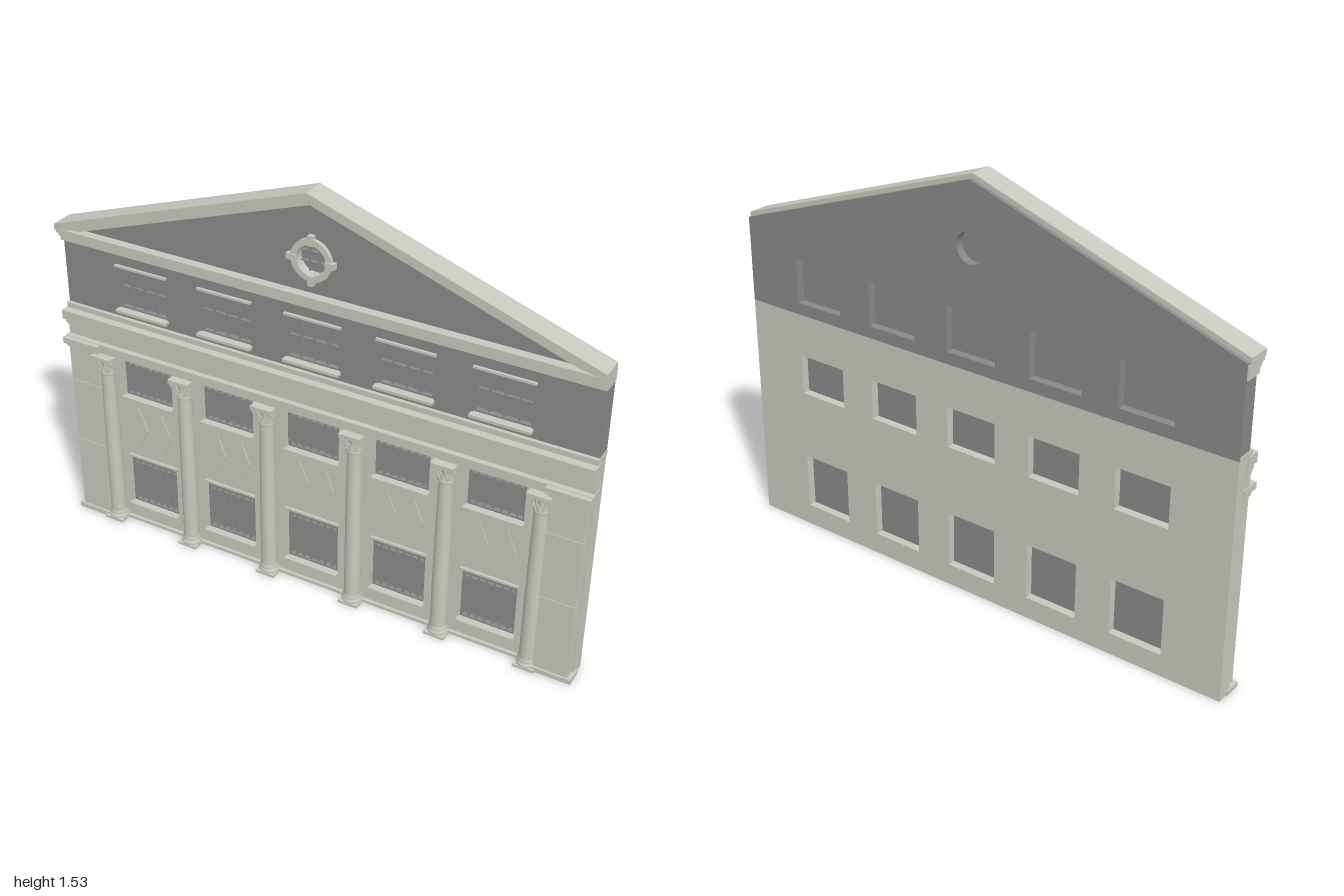
import * as THREE from 'three';

const stone = new THREE.MeshStandardMaterial({ color: 0xc9c8be });
stone.name = 'pale stone';
const grey = new THREE.MeshStandardMaterial({ color: 0x8b888a });
grey.name = 'grey render and glass';

const bayX = [-0.673, -0.337, 0, 0.337, 0.673];
const columnX = [-0.835, -0.505, -0.17, 0.17, 0.505, 0.835];
const rows = [
  { name: 'groundWindow', y0: 0.08, y1: 0.29, v: 6, h: [0.8], trim: stone },
  { name: 'middleWindow', y0: 0.55, y1: 0.70, v: 6, h: [0.8], trim: stone },
  { name: 'atticWindow', y0: 0.905, y1: 1.07, v: 3, h: [0.5], trim: stone },
];
const half = 0.1; // half width of a window opening

export function createModel() {
  const model = new THREE.Group();
  model.name = 'classicalFacade';

  const add = (name, geometry, material, parent = model) => {
    const mesh = new THREE.Mesh(geometry, material);
    mesh.name = name;
    parent.add(mesh);
    return mesh;
  };
  // Box given by its limits on each axis
  const box = (name, x0, x1, y0, y1, z0, z1, material = stone, parent = model) => {
    const m = add(name, new THREE.BoxGeometry(x1 - x0, y1 - y0, z1 - z0), material, parent);
    m.position.set((x0 + x1) / 2, (y0 + y1) / 2, (z0 + z1) / 2);
    return m;
  };
  const outline = (pts) => new THREE.Shape(pts.map(([x, y]) => new THREE.Vector2(x, y)));
  const extrude = (shape, z0, z1) => new THREE.ExtrudeGeometry(shape,
    { depth: z1 - z0, bevelEnabled: false, curveSegments: 20 }).translate(0, 0, z0);
  const cutWindows = (shape, row) => bayX.forEach((x) => shape.holes.push(outline([
    [x - half, row.y0], [x - half, row.y1], [x + half, row.y1], [x + half, row.y0]])));
  const circleHole = (r) => new THREE.Path().absarc(0, 1.29, r, 0, Math.PI * 2, true);

  // Lower stone wall and upper rendered wall with gable
  const lower = outline([[-0.995, 0], [0.995, 0], [0.995, 0.86], [-0.995, 0.86]]);
  cutWindows(lower, rows[0]);
  cutWindows(lower, rows[1]);
  add('lowerWall', extrude(lower, -0.06, 0), stone);
  const upper = outline([[-0.995, 0.86], [0.995, 0.86], [0.995, 1.175], [0, 1.515], [-0.995, 1.175]]);
  cutWindows(upper, rows[2]);
  upper.holes.push(circleHole(0.055));
  add('upperWall', extrude(upper, -0.06, 0), grey);

  // Windows: glass, frame, bars, sill and head
  for (const row of rows) {
    for (const x of bayX) {
      const g = new THREE.Group();
      g.name = row.name;
      model.add(g);
      const { y0, y1 } = row;
      box('glass', x - half, x + half, y0, y1, -0.03, -0.024, grey, g);
      for (const s of [-1, 1]) {
        const c = x + s * (half - 0.004);
        box('frameSide', c - 0.004, c + 0.004, y0, y1, -0.024, -0.006, grey, g);
      }
      box('frameTop', x - half, x + half, y1 - 0.008, y1, -0.024, -0.006, grey, g);
      box('frameBottom', x - half, x + half, y0, y0 + 0.008, -0.024, -0.006, grey, g);
      for (let i = 1; i <= row.v; i++) {
        const c = x - half + (2 * half * i) / (row.v + 1);
        box('uprightBar', c - 0.003, c + 0.003, y0, y1, -0.024, -0.01, grey, g);
      }
      for (const t of row.h) {
        const c = y0 + (y1 - y0) * t;
        box('crossBar', x - half, x + half, c - 0.003, c + 0.003, -0.024, -0.012, grey, g);
      }
      box('sill', x - half - 0.005, x + half + 0.005, y0 - 0.008, y0 + 0.002, -0.01, 0.022, row.trim, g);
      box('head', x - half - 0.005, x + half + 0.005, y1 - 0.002, y1 + 0.006, -0.01, 0.01, row.trim, g);
    }
  }

  // Pairs of diamond panels between the window rows
  const diamond = extrude(outline([[-0.035, 0], [0, -0.086], [0.035, 0], [0, 0.086]]), 0, 0.004);
  for (const x of bayX) for (const s of [-1, 1]) {
    add('diamondPanel', diamond, stone).position.set(x + s * 0.05, 0.42, 0);
  }

  // Engaged columns with leafy capitals
  const profile = [[0.036, 0.008], [0.038, 0.014], [0.036, 0.021], [0.031, 0.024], [0.034, 0.03],
    [0.031, 0.036], [0.029, 0.04], [0.029, 0.25], [0.0275, 0.45], [0.025, 0.632], [0.028, 0.636],
    [0.028, 0.642], [0.025, 0.646], [0.026, 0.67], [0.029, 0.685], [0.035, 0.698]]
    .map(([r, y]) => new THREE.Vector2(r, y));
  const shaft = new THREE.LatheGeometry(profile, 24);
  const leaf = new THREE.ConeGeometry(0.007, 0.028, 4);
  for (const x of columnX) {
    const g = new THREE.Group();
    g.name = 'column';
    g.position.set(x, 0, 0.018);
    model.add(g);
    add('shaft', shaft, stone, g);
    box('plinth', -0.038, 0.038, 0, 0.01, -0.02, 0.037, stone, g);
    box('abacus', -0.041, 0.041, 0.698, 0.712, -0.02, 0.041, stone, g);
    for (let tier = 0; tier < 2; tier++) for (let i = 0; i < 5; i++) {
      const a = ((i - 2 + tier * 0.5) * Math.PI) / 5;
      const r = 0.027 + tier * 0.003;
      const m = add('capitalLeaf', leaf, stone, g);
      m.position.set(Math.sin(a) * r, 0.66 + tier * 0.022, Math.cos(a) * r);
      m.rotation.set(0.25, a, 0, 'YXZ');
    }
    for (const s of [-1, 1]) {
      const scroll = add('scroll', new THREE.CylinderGeometry(0.008, 0.008, 0.012, 10), stone, g);
      scroll.rotation.x = Math.PI / 2;
      scroll.position.set(s * 0.032, 0.69, 0.03);
    }
  }

  // Corner piers in three blocks with fine joints
  for (const s of [-1, 1]) {
    const pier = (name, a, b, y0, y1, z) =>
      box(name, Math.min(s * a, s * b), Math.max(s * a, s * b), y0, y1, -0.02, z);
    pier('pierBase', 0.855, 1, 0, 0.018, 0.045);
    for (const [y0, y1] of [[0.018, 0.313], [0.316, 0.571], [0.574, 0.715]]) {
      pier('pierBlock', 0.862, 0.985, y0, y1, 0.037);
    }
    pier('pierCore', 0.864, 0.983, 0.018, 0.715, 0.034);
    pier('pierNeck', 0.858, 0.99, 0.712, 0.725, 0.044);
    pier('pierCap', 0.85, 1, 0.725, 0.748, 0.052);
  }
  box('footing', -0.995, 0.995, 0, 0.012, -0.02, 0.012);

  // Stacked mouldings: bottom, top, front depth
  const bands = [
    ['architrave', 0.712, 0.735, 0.028], ['architraveLip', 0.735, 0.75, 0.034],
    ['frieze', 0.75, 0.79, 0.014], ['bedMould', 0.79, 0.803, 0.022],
    ['corniceSoffit', 0.803, 0.82, 0.03], ['corniceFace', 0.82, 0.855, 0.043],
    ['corniceTop', 0.855, 0.874, 0.014], ['pedimentBed', 1.12, 1.14, 0.015],
    ['pedimentFace', 1.14, 1.155, 0.024], ['pedimentShelf', 1.155, 1.17, 0.033],
  ];
  for (const [name, y0, y1, z] of bands) {
    const wide = z > 0.03 ? 1 : 0.997;
    box(name, -wide, wide, y0, y1, -0.01, z);
  }
  // Returns of the pediment base and attic base along the side walls
  for (const s of [-1, 1]) {
    for (const [y0, y1] of [[1.12, 1.168], [0.86, 0.874]]) {
      box('sideReturn', s * 0.99 - 0.008, s * 0.99 + 0.008, y0, y1, -0.058, 0);
    }
  }

  // Raking cornices of the pediment
  const rake = (name, w, edge, apex, thick, z0, z1) => add(name, extrude(outline([
    [-w, edge - thick], [0, apex - thick], [w, edge - thick], [w, edge], [0, apex], [-w, edge]]), z0, z1), stone);
  rake('rakeTop', 1, 1.19, 1.532, 0.022, -0.046, 0.04);
  rake('rakeMiddle', 0.99, 1.172, 1.511, 0.014, -0.01, 0.03);
  rake('rakeInner', 0.98, 1.162, 1.498, 0.014, -0.01, 0.02);

  // Round gable window
  const ring = new THREE.Shape().absarc(0, 1.29, 0.074, 0, Math.PI * 2, false);
  ring.holes.push(circleHole(0.053));
  add('roundWindowRing', extrude(ring, -0.02, 0.014), stone);
  for (let i = 0; i < 4; i++) {
    const a = (i * Math.PI) / 2;
    const key = add('keystone', new THREE.BoxGeometry(0.034, 0.02, 0.03), stone);
    key.position.set(Math.cos(a) * 0.07, 1.29 + Math.sin(a) * 0.07, 0.005);
    key.rotation.z = a;
  }
  const pane = add('roundGlass', new THREE.CylinderGeometry(0.056, 0.056, 0.006, 32), grey);
  pane.rotation.x = Math.PI / 2;
  pane.position.set(0, 1.29, -0.027);
  for (const d of [-0.018, 0.018]) {
    box('roundCrossBar', -0.05, 0.05, 1.288 + d, 1.292 + d, -0.024, -0.012, grey);
    box('roundUprightBar', d - 0.002, d + 0.002, 1.24, 1.34, -0.024, -0.012, grey);
  }
  return model;
}
